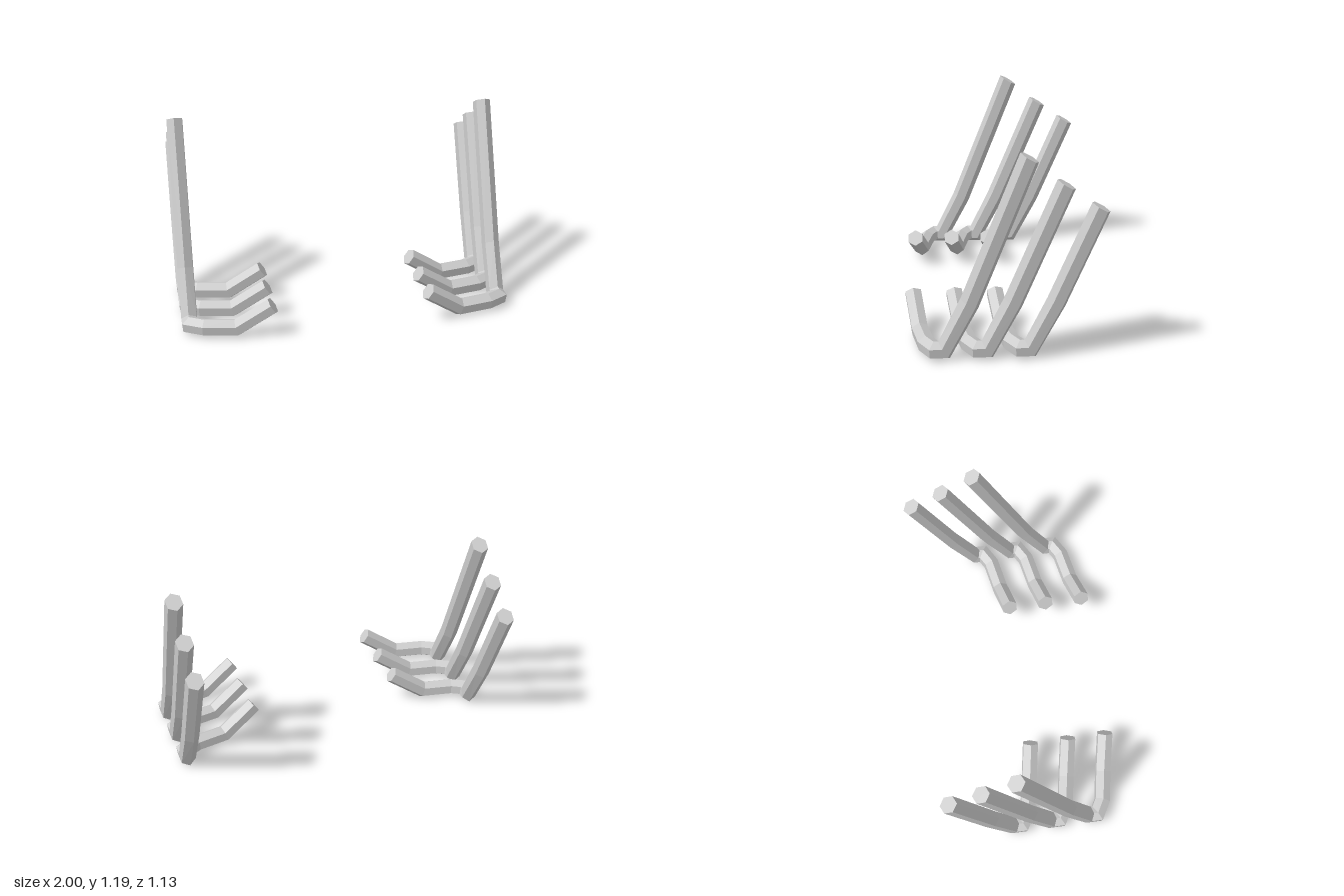
import * as THREE from 'three';

const V = (x, y, z) => new THREE.Vector3(x, y, z);
const SIDES = 6, RADIUS = 0.053, ROLL = THREE.MathUtils.degToRad(84);

// Hexagonal pipe with mitred bends; side = 1 or -1 mirrors it across x
function pipeGeometry(path, tipNormal, side) {
  const last = path.length - 1;
  const dirs = path.slice(1).map((p, i) => p.clone().sub(path[i]).normalize());

  // Opening ring, square to the first stretch
  const out = dirs[0].clone().cross(V(0, 1, 0)).normalize();
  const up = out.clone().cross(dirs[0]);
  const rings = [[]];
  for (let k = 0; k < SIDES; k++) {
    const a = ROLL + (k * Math.PI * 2) / SIDES;
    rings[0].push(path[0].clone()
      .addScaledVector(out, RADIUS * Math.cos(a))
      .addScaledVector(up, RADIUS * Math.sin(a)));
  }

  // Slide each ring along its stretch until it meets the next joint plane
  for (let i = 1; i <= last; i++) {
    const d = dirs[i - 1];
    const n = i >= last - 1 ? tipNormal : d.clone().add(dirs[i]).normalize();
    rings.push(rings[i - 1].map((v) => {
      const w = v.clone().addScaledVector(d, path[i].clone().sub(v).dot(n) / d.dot(n));
      // the long upper stretch is slightly deeper than wide
      if (i === last - 1) w.sub(path[i]).multiply(V(1, 1.1, 1.1)).add(path[i]);
      return w;
    }));
  }

  const pos = [];
  const tri = (a, b, c) => {
    for (const v of side > 0 ? [a, b, c] : [a, c, b]) pos.push(v.x * side, v.y, v.z);
  };
  for (let k = 0; k < SIDES; k++) {
    const m = (k + 1) % SIDES;
    for (let i = 0; i < last; i++) {
      const A = rings[i], B = rings[i + 1];
      tri(A[k], B[k], A[m]);
      tri(A[m], B[k], B[m]);
    }
    // end caps
    tri(path[0], rings[0][k], rings[0][m]);
    tri(path[last], rings[last][m], rings[last][k]);
  }
  const geo = new THREE.BufferGeometry();
  geo.setAttribute('position', new THREE.Float32BufferAttribute(pos, 3));
  geo.computeVertexNormals();
  return geo;
}

export function createModel() {
  const model = new THREE.Group();
  model.name = 'exhaustPipes';
  const material = new THREE.MeshStandardMaterial({ color: 0xcccccc, flatShading: true });
  const tipNormal = V(0, Math.cos(Math.PI / 6), -Math.sin(Math.PI / 6));

  // Tip height and depth of each pipe, front to back
  const pipes = [
    { name: 'Front', shift: 0, tip: [1.157, -0.132] },
    { name: 'Middle', shift: -0.24, tip: [1.006, -0.331] },
    { name: 'Rear', shift: -0.48, tip: [0.875, -0.521] },
  ];

  for (const [sideName, side] of [['left', 1], ['right', -1]]) {
    const bank = new THREE.Group();
    bank.name = sideName + 'PipeBank';
    for (const { name, shift, tip } of pipes) {
      const path = [
        V(0.47, 0.197, 0.51),
        V(0.68, 0.053, 0.472),
        V(0.87, 0.053, 0.436),
        V(0.9515, 0.053, 0.39),
        V(0.9515, 0.053, 0.335),
        V(0.9515, 0.33, 0.193),
      ].map((p) => p.add(V(0, 0, shift)));
      path.push(V(0.9515, ...tip));
      const mesh = new THREE.Mesh(pipeGeometry(path, tipNormal, side), material);
      mesh.name = sideName + name + 'Pipe';
      bank.add(mesh);
    }
    model.add(bank);
  }
  return model;
}
